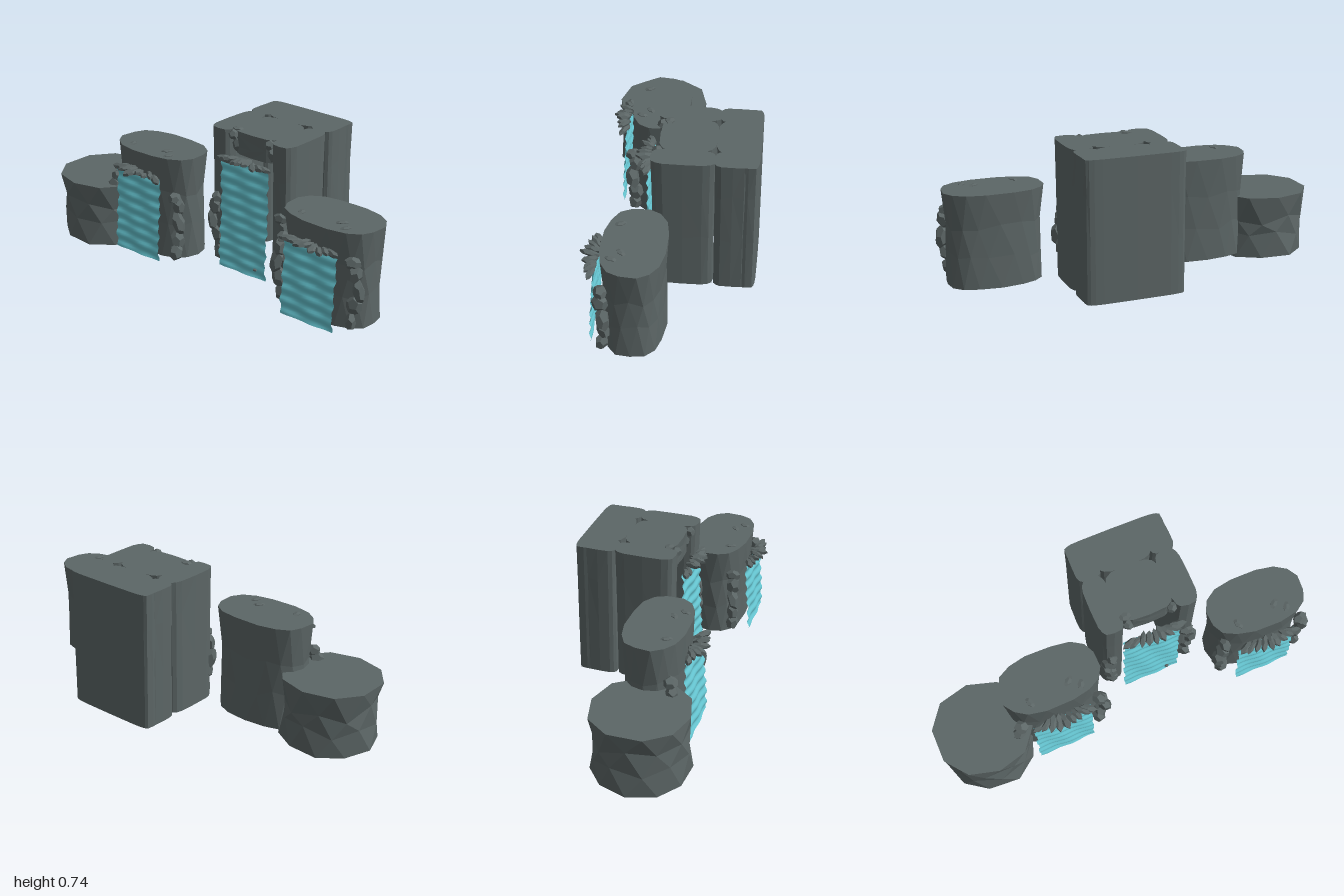
import * as THREE from 'three';

const rockMat = new THREE.MeshStandardMaterial({ color: 0x5c6666, flatShading: true });
rockMat.name = 'slate rock';
const waterMat = new THREE.MeshStandardMaterial({ color: 0x67c8d4, side: THREE.DoubleSide });
waterMat.name = 'water';

// Small seeded random source
function seeded(seed) {
  let s = seed * 7919 + 17;
  return () => {
    s = (s * 16807) % 2147483647;
    return s / 2147483647;
  };
}

// Faceted pillar: rings of a squarish oval stacked by [height, scale], capped at both ends
function pillarGeometry({ x, z, rx, rz, sides, power, rings, jitter, seed }) {
  const rand = seeded(seed);
  const sq = v => Math.sign(v) * Math.abs(v) ** (2 / power);
  const loops = rings.map(([y, k], r) => Array.from({ length: sides }, (_, i) => {
    const end = r === 0 || r === rings.length - 1;
    const a = ((i + 0.5 * (r % 2) * (jitter > 0.03 ? 1 : 0)) / sides) * Math.PI * 2;
    const s = k * (1 - rand() * jitter);
    const dy = end ? 0 : (rand() - 0.5) * jitter * 0.9;
    return [x + rx * s * sq(Math.cos(a)), y + dy, z + rz * s * sq(Math.sin(a))];
  }));
  const pos = [];
  const tri = (a, b, c) => pos.push(...a, ...b, ...c);
  for (let r = 0; r + 1 < loops.length; r++) {
    for (let i = 0; i < sides; i++) {
      const j = (i + 1) % sides;
      const [a, b, c, d] = [loops[r][i], loops[r][j], loops[r + 1][i], loops[r + 1][j]];
      if (r % 2) {
        tri(a, c, d);
        tri(a, d, b);
      } else {
        tri(a, c, b);
        tri(b, c, d);
      }
    }
  }
  const low = loops[0], high = loops[loops.length - 1];
  for (let i = 0; i < sides; i++) {
    const j = (i + 1) % sides;
    tri([x, low[0][1], z], low[i], low[j]);
    tri([x, high[0][1], z], high[j], high[i]);
  }
  const geo = new THREE.BufferGeometry();
  geo.setAttribute('position', new THREE.Float32BufferAttribute(pos, 3));
  geo.computeVertexNormals();
  return geo;
}

function addPillar(parent, name, spec) {
  const mesh = new THREE.Mesh(pillarGeometry(spec), rockMat);
  mesh.name = name;
  parent.add(mesh);
}

// Loose stone: stretched low-poly ball
const stoneGeo = new THREE.DodecahedronGeometry(1, 0);
function addStone(parent, name, [x, y, z], [sx, sy, sz], [ax, ay, az] = [0, 0, 0]) {
  const mesh = new THREE.Mesh(stoneGeo, rockMat);
  mesh.name = name;
  mesh.position.set(x, y, z);
  mesh.scale.set(sx, sy, sz);
  mesh.rotation.set(ax, ay, az);
  parent.add(mesh);
}

// Rippled sheet of falling water that leans out towards its foot
function addWater(parent, x, top, zTop) {
  const base = 0.02, height = top - base;
  const geo = new THREE.PlaneGeometry(0.3, height, 16, Math.round(height * 130));
  const p = geo.attributes.position;
  for (let i = 0; i < p.count; i++) {
    const px = p.getX(i), y = p.getY(i) + base + height / 2;
    const ripple = 0.005 * Math.sin(y * 105 + px * 9) + 0.003 * Math.sin(px * 40 + y * 14);
    p.setXYZ(i, x + px + 0.004 * Math.sin(y * 50), y, zTop + 0.022 * (1 - (y - base) / height) + ripple);
  }
  geo.computeVertexNormals();
  const mesh = new THREE.Mesh(geo, waterMat);
  mesh.name = 'waterfall';
  parent.add(mesh);
}

// Fan of flat shards over the lip of the fall
function addLip(parent, x, y, z, seed) {
  const rand = seeded(seed);
  for (let i = 0; i < 9; i++) {
    const t = i / 4 - 1;
    addStone(parent, 'lipShard',
      [x + t * 0.125, y + (rand() - 0.5) * 0.016 + 0.008 * (1 - t * t), z + 0.022 * (1 - Math.abs(t))],
      [0.015 + rand() * 0.008, 0.013 + rand() * 0.005, 0.04 + rand() * 0.012],
      [(rand() - 0.5) * 0.5, t * 1.25 + (rand() - 0.5) * 0.4, (rand() - 0.5) * 0.6]);
  }
}

// Boulders piled up both sides of the fall: [height, half height, offset]
function addFlanks(parent, x, half, z, seed, zs = 0) {
  const rand = seeded(seed);
  const pile = [[0.07, 0.045, -0.03], [0.15, 0.05, -0.02], [0.23, 0.065, 0], [0.315, 0.05, -0.015], [0.37, 0.03, -0.03]];
  for (const side of [-1, 1]) {
    for (const [y, h, off] of pile) {
      addStone(parent, 'flankBoulder',
        [x + side * (half + off), y + (rand() - 0.5) * 0.02, z + zs + (rand() - 0.5) * 0.02],
        [0.026 + rand() * 0.01, h, 0.035 + rand() * 0.008],
        [(rand() - 0.5) * 0.4, rand() * 2, (rand() - 0.5) * 0.5]);
    }
  }
}

// Oval rock with a waterfall down its front
function sideFall(name, x, height, waterTop, seed) {
  const g = new THREE.Group();
  g.name = name;
  const h = height - 0.02;
  addPillar(g, 'rockBody', {
    x, z: 0.13, rx: 0.256, rz: 0.152, sides: 16, power: 2.5, jitter: 0.045, seed,
    rings: [[0.02, 0.97], [0.02 + h * 0.33, 0.95], [0.02 + h * 0.65, 0.95], [height, 1.02]],
  });
  addWater(g, x - 0.002, waterTop, 0.305);
  addLip(g, x, waterTop + 0.005, 0.315, seed + 1);
  addFlanks(g, x, 0.235, 0.255, seed + 2);
  for (const [dx, dz] of [[-0.13, 0.08], [0.08, 0.05], [0.13, 0.09]]) {
    addStone(g, 'topPebble', [x + dx, height, 0.13 + dz], [0.03, 0.007, 0.018], [0, dx * 9, 0]);
  }
  return g;
}

// Tall cluster of columns around an open niche
function tallFall() {
  const g = new THREE.Group();
  g.name = 'tallFall';
  const cx = 0.175;
  const column = (name, x, z, rx, rz, y0, y1, seed) => addPillar(g, name, {
    x, z, rx, rz, sides: 16, power: 4, jitter: 0.028, seed,
    rings: [[y0, 0.99], [y0 + (y1 - y0) * 0.4, 0.985], [y0 + (y1 - y0) * 0.75, 1], [y1, 1.02]],
  });
  for (const side of [-1, 1]) {
    column('frontColumn', cx + side * 0.192, -0.055, 0.064, 0.153, 0.02, 0.73, 21 + side);
    column('rearColumn', cx + side * 0.192, -0.29, 0.064, 0.088, 0.02, 0.73, 25 + side);
    // Stones tucked under the roof of the niche
    addStone(g, 'nicheStone', [cx + side * 0.115, 0.71, 0.075], [0.028, 0.026, 0.025], [0.3, side, 0.2]);
    addStone(g, 'nicheStone', [cx + side * 0.11, 0.65, 0.05], [0.022, 0.04, 0.025], [0.2, side, 0]);
  }
  column('frontRoofBlock', cx, -0.065, 0.142, 0.14, 0.61, 0.73, 31);
  column('rearRoofBlock', cx, -0.29, 0.142, 0.09, 0.55, 0.73, 33);
  // Back slab
  addPillar(g, 'backSlab', {
    x: cx, z: -0.362, rx: 0.257, rz: 0.052, sides: 20, power: 6, jitter: 0.012, seed: 35,
    rings: [[0.02, 0.99], [0.3, 0.99], [0.55, 0.99], [0.73, 1]],
  });
  addWater(g, cx - 0.002, 0.6, 0.118);
  addLip(g, cx, 0.603, 0.13, 36);
  addFlanks(g, cx, 0.235, 0.085, 37);
  addStone(g, 'topPebble', [0.06, 0.731, 0.04], [0.03, 0.008, 0.025]);
  addStone(g, 'waterPebble', [0.262, 0.065, 0.143], [0.012, 0.008, 0.01]);
  return g;
}

export function createModel() {
  const model = new THREE.Group();
  model.name = 'waterfallRocks';
  addPillar(model, 'lowRock', {
    x: -0.755, z: 0.172, rx: 0.247, rz: 0.244, sides: 10, power: 2.2, jitter: 0.07, seed: 4,
    rings: [[0, 1], [0.11, 0.96], [0.21, 0.95], [0.33, 1.02]],
  });
  model.add(sideFall('leftFall', -0.375, 0.56, 0.46, 7));
  model.add(sideFall('rightFall', 0.73, 0.5, 0.4, 12));
  model.add(tallFall());
  return model;
}
